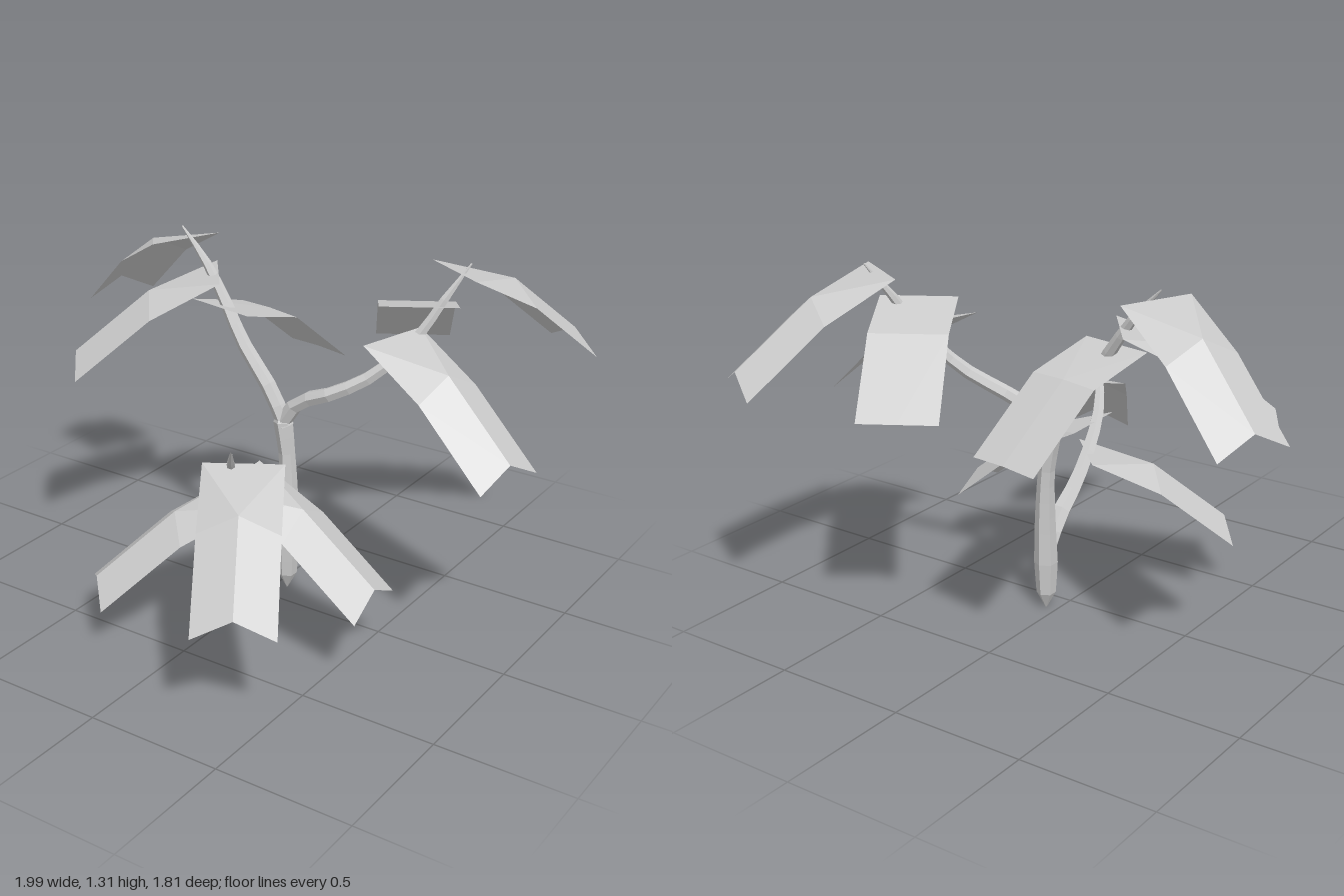
import * as THREE from 'three';

const grey = new THREE.MeshStandardMaterial({ color: 0xcccccc, flatShading: true });
const leafMaterial = new THREE.MeshStandardMaterial({ color: 0xcccccc, flatShading: true, side: THREE.DoubleSide });

// Six-sided limb along [x, y, z, radius] stations
function limb(name, stations) {
  const curve = new THREE.CatmullRomCurve3(stations.map(([x, y, z]) => new THREE.Vector3(x, y, z)));
  const segments = (stations.length - 1) * 2;
  const geometry = new THREE.TubeGeometry(curve, segments, 1, 6);
  const pos = geometry.attributes.position;
  const v = new THREE.Vector3();
  const centre = new THREE.Vector3();
  const lengths = curve.getLengths(200);
  const total = lengths[200];
  // arc-length position of every station, used to blend the radii
  const marks = stations.map((_, i) => lengths[Math.round((i / (stations.length - 1)) * 200)] / total);
  for (let i = 0; i < pos.count; i++) {
    const t = Math.floor(i / 7) / segments;
    let k = 0;
    while (k < stations.length - 2 && t > marks[k + 1]) k++;
    const r = THREE.MathUtils.mapLinear(t, marks[k], marks[k + 1], stations[k][3], stations[k + 1][3]);
    curve.getPointAt(t, centre);
    v.fromBufferAttribute(pos, i).sub(centre).multiplyScalar(r).add(centre);
    pos.setXYZ(i, v.x, v.y, v.z);
  }
  geometry.computeVertexNormals();
  const mesh = new THREE.Mesh(geometry, grey);
  mesh.name = name;
  return mesh;
}

// Drooping leaf: flat at the stem, folded along its ridge towards the tip
function leaf(name, [bx, bz], [tx, tz], y, fold) {
  const dx = tx - bx, dz = tz - bz;
  const len = Math.hypot(dx, dz);
  const sx = (-dz / len) * 0.14, sz = (dx / len) * 0.14;
  const rows = [[0, 0, 0], [0.48, 0.065, fold], [1, 0.295, fold]]; // along, ridge drop, edge drop
  const points = [];
  for (const [t, drop, edge] of rows) {
    for (const s of [-1, 0, 1]) {
      points.push(bx + dx * t + sx * s, y - drop - Math.abs(s) * edge, bz + dz * t + sz * s);
    }
  }
  const index = [];
  for (let r = 0; r < 2; r++) {
    for (let c = 0; c < 2; c++) {
      const a = r * 3 + c, b = a + 1, d = a + 3, e = a + 4;
      // diagonals mirrored about the ridge
      if (c === 0) index.push(a, b, e, a, e, d);
      else index.push(a, b, d, b, e, d);
    }
  }
  const geometry = new THREE.BufferGeometry();
  geometry.setAttribute('position', new THREE.Float32BufferAttribute(points, 3));
  geometry.setIndex(index);
  geometry.computeVertexNormals();
  const mesh = new THREE.Mesh(geometry, leafMaterial);
  mesh.name = name;
  return mesh;
}

export function createModel() {
  const model = new THREE.Group();
  model.name = 'plant';

  // Trunk and its three branches
  model.add(
    limb('trunk', [
      [0.045, 0.005, -0.092, 0.003], [0.045, 0.03, -0.092, 0.033], [0.045, 0.18, -0.092, 0.044],
      [0.045, 0.36, -0.095, 0.038], [0.035, 0.55, -0.1, 0.03], [0.015, 0.69, -0.1, 0.036], [0.01, 0.74, -0.1, 0.005],
    ]),
    limb('leftBranch', [
      [0.02, 0.68, -0.1, 0.03], [0.08, 0.765, -0.105, 0.03], [0.2, 0.82, -0.115, 0.027],
      [0.33, 0.895, -0.175, 0.025], [0.46, 1.04, -0.265, 0.021], [0.53, 1.18, -0.335, 0.016], [0.59, 1.3, -0.405, 0.003],
    ]),
    limb('rightBranch', [
      [0.03, 0.66, -0.1, 0.03], [-0.04, 0.79, -0.1, 0.03], [-0.17, 0.94, -0.115, 0.026],
      [-0.28, 1.09, -0.145, 0.022], [-0.37, 1.21, -0.157, 0.016], [-0.472, 1.315, -0.163, 0.003],
    ]),
    limb('frontBranch', [
      [0.045, 0.22, -0.085, 0.03], [0.045, 0.33, -0.02, 0.036], [0.048, 0.45, 0.12, 0.029],
      [0.085, 0.62, 0.3, 0.024], [0.14, 0.72, 0.4, 0.018], [0.195, 0.815, 0.475, 0.003],
    ])
  );

  // Leaves: base [x, z], tip [x, z], base height, fold depth
  const leaves = {
    leftBranch: [
      [[0.54, -0.37], [0.805, -0.84], 1.275, 0.07],
      [[0.48, -0.245], [0.21, -0.7], 1.165, 0],
      [[0.42, -0.17], [0.957, -0.03], 1.07, 0.07],
    ],
    rightBranch: [
      [[-0.444, -0.15], [-0.94, -0.37], 1.275, 0.07],
      [[-0.316, -0.17], [-0.738, 0.155], 1.165, 0.07],
      [[-0.243, -0.075], [-0.155, -0.607], 1.07, 0.005],
    ],
    frontBranch: [
      [[0.171, 0.37], [0.449, 0.829], 0.73, 0.07],
      [[0.075, 0.265], [0.615, 0.238], 0.62, 0.07],
      [[0.06, 0.187], [-0.33, 0.567], 0.53, 0.07],
    ],
  };
  for (const [branch, list] of Object.entries(leaves)) {
    const group = new THREE.Group();
    group.name = branch + 'Leaves';
    list.forEach((args, i) => group.add(leaf('leaf' + (i + 1), ...args)));
    model.add(group);
  }
  return model;
}
